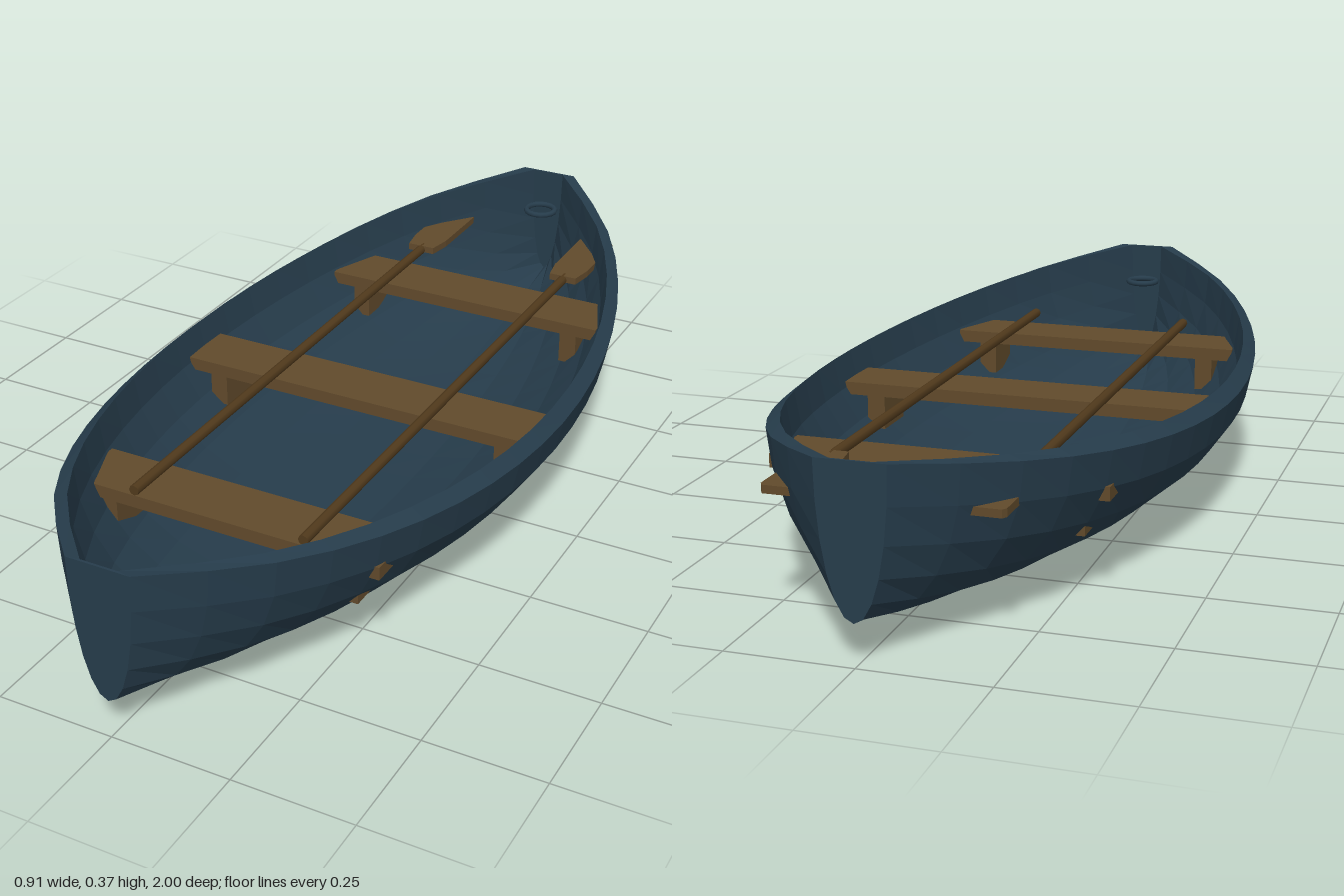
import * as THREE from 'three';

const ARC = 12;   // facets across the hull
const BAYS = 20;  // facets along the hull

// Closed cross-section at station t (-1..1): outer skin left to right, inner skin back again
function section(t) {
  const a = Math.abs(t);
  const width = Math.max(0.067, 0.455 * Math.pow(Math.max(0, 1 - t * t), 0.63));
  const keel = 0.003 + 0.082 * a ** 2.8;
  const outerTop = 0.27 + 0.105 * t * t;
  const innerTop = 0.295 + 0.08 * t * t;
  const points = [];
  const skin = (w, top, bottom, z, dir) => {
    for (let j = 0; j <= ARC; j++) {
      const angle = dir * (j / ARC - 0.5) * Math.PI;
      points.push([w * Math.sin(angle), top - (top - bottom) * Math.cos(angle), z]);
    }
  };
  skin(width, outerTop, keel, t, 1);
  skin(width - 0.028, innerTop, keel + 0.025, t * 0.995, -1);
  return points;
}

function hullGeometry() {
  const positions = [], index = [];
  const n = 2 * (ARC + 1);
  for (let i = 0; i <= BAYS; i++) {
    for (const p of section(-1 + (2 * i) / BAYS)) positions.push(...p);
  }
  // Skins and the sloping gunwale
  for (let i = 0; i < BAYS; i++) {
    for (let j = 0; j < n; j++) {
      const a = i * n + j, b = i * n + ((j + 1) % n);
      index.push(a, b, b + n, a, b + n, a + n);
    }
  }
  // Flat end plates, inside and out, with their top edge
  const fan = (ids, front) => {
    for (let k = 1; k < ids.length - 1; k++) {
      if (front) index.push(ids[0], ids[k], ids[k + 1]);
      else index.push(ids[0], ids[k + 1], ids[k]);
    }
  };
  for (const front of [false, true]) {
    const base = front ? BAYS * n : 0;
    const outer = [], inner = [];
    for (let j = 0; j <= ARC; j++) {
      outer.push(base + j);
      inner.push(base + ARC + 1 + j);
    }
    fan(outer, front);
    fan(inner, front);
    fan([outer[0], outer[ARC], inner[0], inner[ARC]], front);
  }
  const geometry = new THREE.BufferGeometry();
  geometry.setAttribute('position', new THREE.Float32BufferAttribute(positions, 3));
  geometry.setIndex(index);
  const flat = geometry.toNonIndexed();
  flat.computeVertexNormals();
  return flat;
}

export function createModel() {
  const material = (name, color) => {
    const m = new THREE.MeshStandardMaterial({ color });
    m.name = name;
    return m;
  };
  const navy = material('navy paint', 0x263c4b);
  const wood = material('seat wood', 0x614a2b);
  const darkWood = material('oar shaft wood', 0x513a1c);

  const boat = new THREE.Group();
  boat.name = 'rowingBoat';
  const add = (name, geometry, mat, x, y, z, parent = boat) => {
    const mesh = new THREE.Mesh(geometry, mat);
    mesh.name = name;
    mesh.position.set(x, y, z);
    parent.add(mesh);
    return mesh;
  };

  add('hull', hullGeometry(), navy, 0, 0, 0);

  // Seats, each with a bracket under both ends
  for (const [name, z, half] of [['rearSeat', -0.54, 0.34], ['middleSeat', 0, 0.415], ['frontSeat', 0.54, 0.34]]) {
    const seat = new THREE.Group();
    seat.name = name;
    boat.add(seat);
    add('seatBoard', new THREE.BoxGeometry(half * 2, 0.028, 0.13), wood, 0, 0.225, z, seat);
    for (const side of [-1, 1]) {
      add('seatBracket', new THREE.BoxGeometry(0.04, 0.078, 0.11), wood, side * (half - 0.07), 0.174, z, seat);
    }
  }

  // Oars lying along the seats, blades toward the back
  const bladeShape = new THREE.Shape([
    [-0.033, 0.645], [0.033, 0.645], [0.042, 0.7], [0.042, 0.865],
    [0.036, 0.875], [-0.036, 0.875], [-0.042, 0.865], [-0.042, 0.7],
  ].map(([x, y]) => new THREE.Vector2(x, y)));
  const bladeGeometry = new THREE.ExtrudeGeometry(bladeShape, { depth: 0.016, bevelEnabled: false });
  bladeGeometry.rotateX(-Math.PI / 2);
  const shaftGeometry = new THREE.CylinderGeometry(0.011, 0.011, 1.28, 8);
  shaftGeometry.rotateX(Math.PI / 2);
  for (const side of [-1, 1]) {
    const oar = new THREE.Group();
    oar.name = side > 0 ? 'leftOar' : 'rightOar';
    oar.position.set(side * 0.188, 0.262, 0);
    boat.add(oar);
    add('oarShaft', shaftGeometry, darkWood, 0, 0, -0.02, oar);
    add('oarBlade', bladeGeometry, wood, 0, -0.006, 0, oar);
  }

  // Mooring rings at both ends
  for (const side of [-1, 1]) {
    const ring = add('mooringRing', new THREE.TorusGeometry(0.036, 0.007, 8, 16), navy, 0, 0.288, side * 0.954);
    ring.rotation.x = Math.PI / 2;
  }
  return boat;
}
